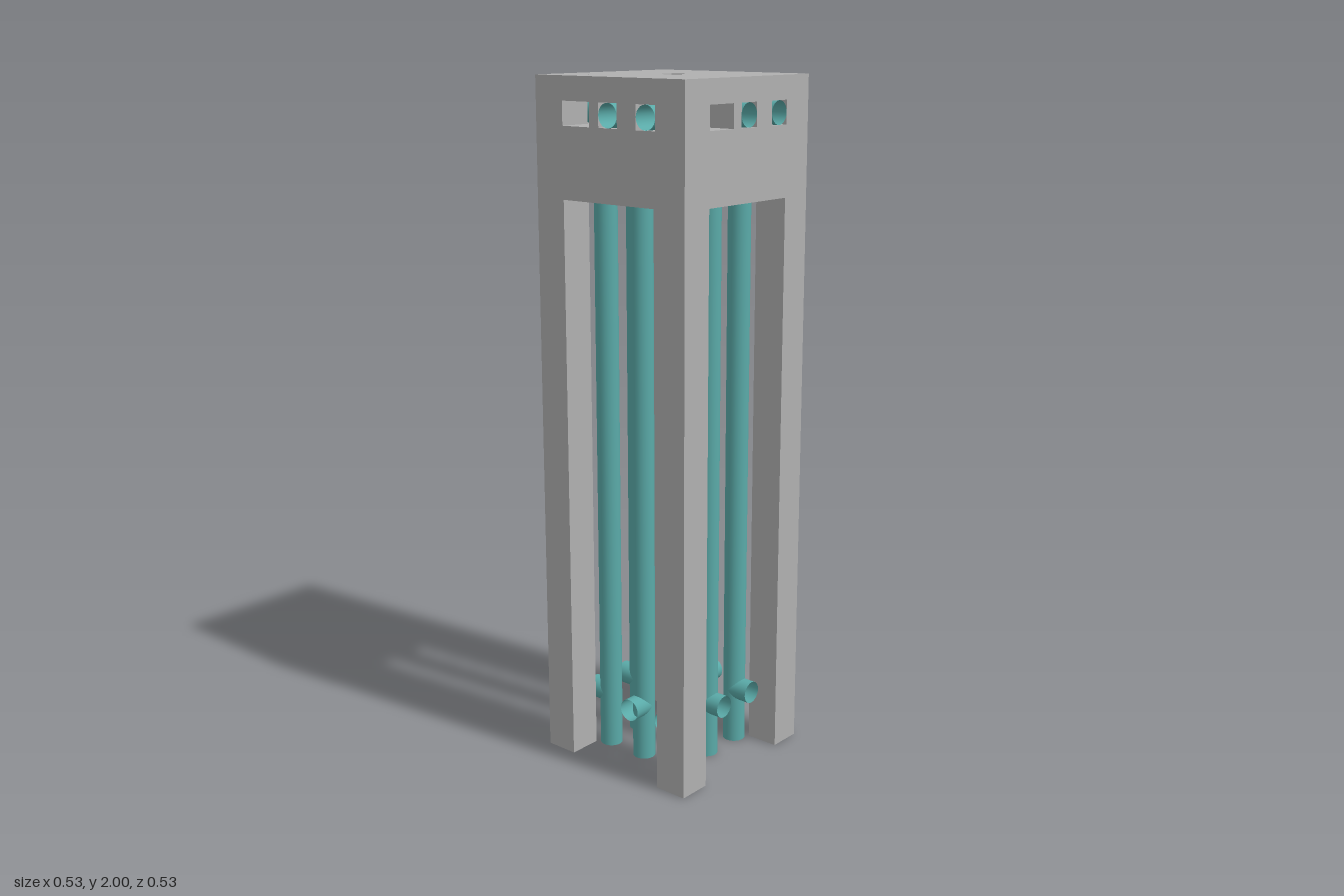
import * as THREE from 'three';

const U = 1 / 15;            // design module
const HALF = 4 * U;          // half width of the tower
const IN = 2.5 * U;          // half width of the inner space
const R = 0.5 * U;           // pipe radius
const TOP = 30 * U;
const CEIL = 29 * U;
const SILL = 28 * U;

const concrete = new THREE.MeshStandardMaterial({ color: 0xb0b0b0 });
concrete.name = 'concrete grey';
const teal = new THREE.MeshStandardMaterial({ color: 0x5aaaa8, side: THREE.DoubleSide });
teal.name = 'pipe teal';

function polygon(points) {
  return new THREE.Shape(points.map(([x, y]) => new THREE.Vector2(x, y)));
}

function rectHole(x0, y0, x1, y1) {
  return new THREE.Path([[x0, y0], [x0, y1], [x1, y1], [x1, y0]].map(([x, y]) => new THREE.Vector2(x, y)));
}

function add(group, geometry, material, name) {
  const mesh = new THREE.Mesh(geometry, material);
  mesh.name = name;
  group.add(mesh);
  return mesh;
}

// Open tube along +y from 0 to length; cut(x, z) moves the rim at the chosen end
function tube(length, cutTop, cut) {
  const g = new THREE.CylinderGeometry(R, R, length, 24, 1, true).translate(0, length / 2, 0);
  const p = g.attributes.position;
  for (let i = 0; i < p.count; i++) {
    const isTop = p.getY(i) > length / 2;
    if (isTop === cutTop) p.setY(i, p.getY(i) + cut(p.getX(i), p.getZ(i)));
  }
  return g;
}

// Vertical pipe with a mitred outlet at the top and a short tee near the foot, both facing +z
function makePipe(x) {
  const pipe = new THREE.Group();
  pipe.name = 'pipe';
  pipe.position.set(x, 0, 2 * U);
  const bend = CEIL - R;
  add(pipe, tube(bend, true, (px, pz) => -pz), teal, 'pipeRiser');
  // lying along +z, the tube's own z points down
  const outlet = add(pipe, tube(2 * U, false, (px, pz) => pz), teal, 'pipeOutlet');
  outlet.rotation.x = Math.PI / 2;
  outlet.position.y = bend;
  const tee = add(pipe, tube(U, false, (px) => Math.sqrt(Math.max(0, R * R - px * px))), teal, 'pipeTee');
  tee.rotation.x = Math.PI / 2;
  tee.position.y = 2.5 * U;
  return pipe;
}

export function createModel() {
  const model = new THREE.Group();
  model.name = 'pipeTower';

  // One side: a corner leg, the upper wall and its three openings
  const side = polygon([
    [-HALF, 0], [-IN, 0], [-IN, 25 * U], [IN, 25 * U], [IN, SILL],
    [1.5 * U, SILL], [1.5 * U, CEIL], [IN, CEIL], [IN, TOP], [-HALF, TOP],
  ]);
  side.holes.push(rectHole(-IN, SILL, -U, CEIL), rectHole(-R, SILL, R, CEIL));
  const wall = new THREE.ExtrudeGeometry(side, { depth: HALF - IN, bevelEnabled: false });
  wall.translate(0, 0, IN);

  // Four sides turned around the tower, each with two pipes
  for (let i = 0; i < 4; i++) {
    const quarter = new THREE.Group();
    quarter.name = 'towerSide';
    quarter.rotation.y = i * Math.PI / 2;
    add(quarter, wall, concrete, 'wallAndLeg');
    for (const x of [0, 2 * U]) quarter.add(makePipe(x));
    model.add(quarter);
  }

  // Roof slab with a square opening
  const slab = polygon([[-IN, -IN], [IN, -IN], [IN, IN], [-IN, IN]]);
  slab.holes.push(rectHole(-R, -R, R, R));
  const roof = new THREE.ExtrudeGeometry(slab, { depth: TOP - CEIL, bevelEnabled: false });
  roof.rotateX(-Math.PI / 2).translate(0, CEIL, 0);
  add(model, roof, concrete, 'roof');

  return model;
}
